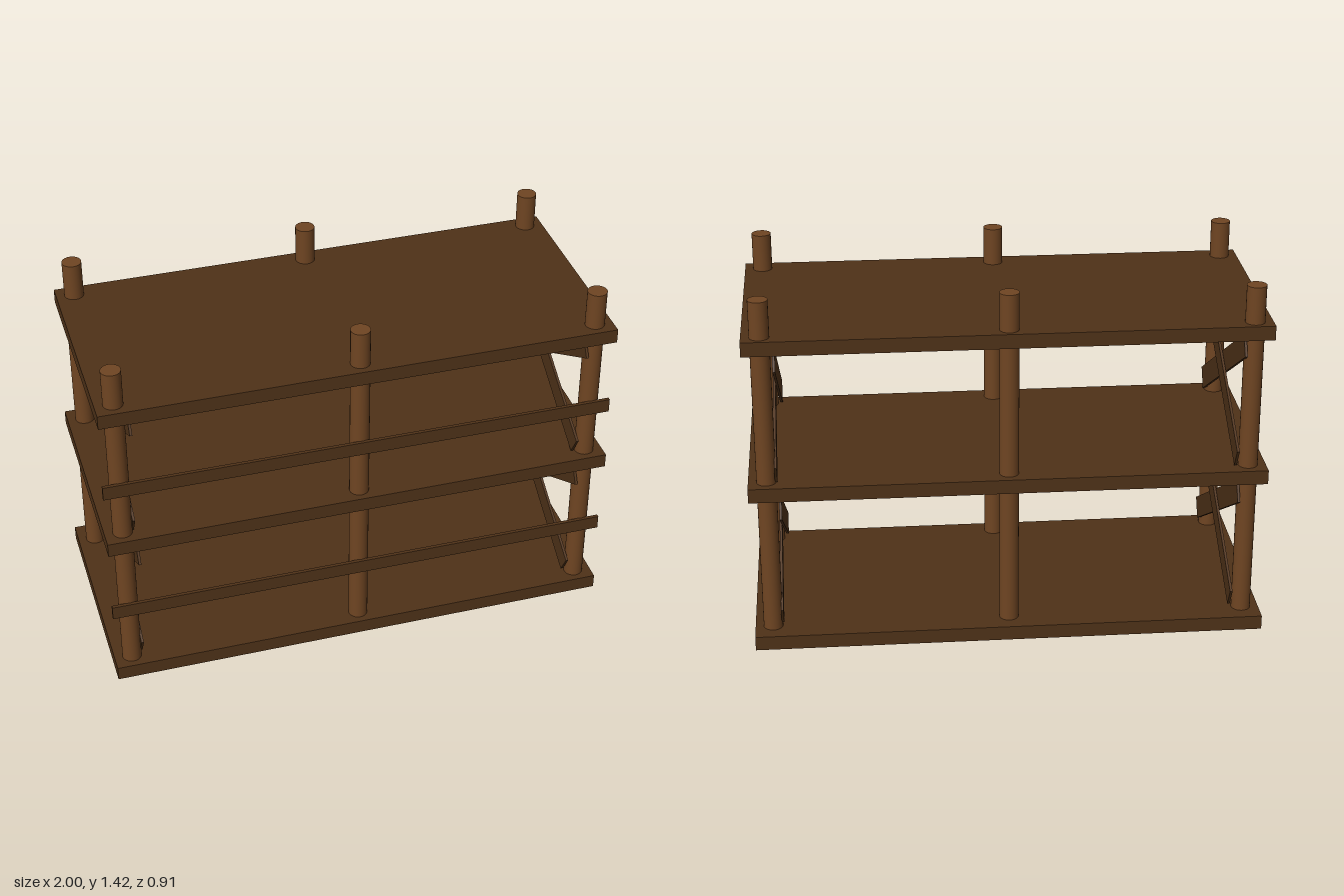
import * as THREE from 'three';

export function createModel() {
  const group = new THREE.Group();
  const plank = new THREE.MeshStandardMaterial({ color: 0x4f3218 });
  const pole = new THREE.MeshStandardMaterial({ color: 0x6f4522 });

  function add(name, geometry, material, x, y, z) {
    const mesh = new THREE.Mesh(geometry, material);
    mesh.name = name;
    mesh.position.set(x, y, z);
    group.add(mesh);
    return mesh;
  }

  // Shelves: same front edge, each one a little shallower than the one below
  const front = 0.455;
  for (const [name, y, back] of [
    ['bottomShelf', 0.029, -0.455],
    ['middleShelf', 0.655, -0.43],
    ['topShelf', 1.248, -0.418],
  ]) {
    add(name, new THREE.BoxGeometry(2, 0.057, front - back), plank, 0, y, (front + back) / 2);
  }

  // Six round posts rising from the bottom shelf
  const postBase = 0.03, postTop = 1.425;
  const postGeometry = new THREE.CylinderGeometry(0.038, 0.038, postTop - postBase, 24);
  for (const x of [-0.93, 0, 0.93]) {
    add('frontPost', postGeometry, pole, x, (postBase + postTop) / 2, 0.392);
    add('backPost', postGeometry, pole, x, (postBase + postTop) / 2, -0.364);
  }

  // Thin rails across the front
  const railGeometry = new THREE.BoxGeometry(2, 0.056, 0.014);
  for (const y of [0.331, 0.914]) add('frontRail', railGeometry, plank, 0, y, 0.434);

  // Crossed braces at both ends of each bay
  const braceGeometry = new THREE.BoxGeometry(0.01, 0.09, 0.94);
  for (const side of [-1, 1]) {
    for (const y of [0.35, 0.96]) {
      add('outerBrace', braceGeometry, plank, side * 0.892, y, 0.01).rotation.x = -side * Math.PI / 6;
      add('innerBrace', braceGeometry, plank, side * 0.88, y, 0.01).rotation.x = side * Math.PI / 6;
    }
  }

  return group;
}
